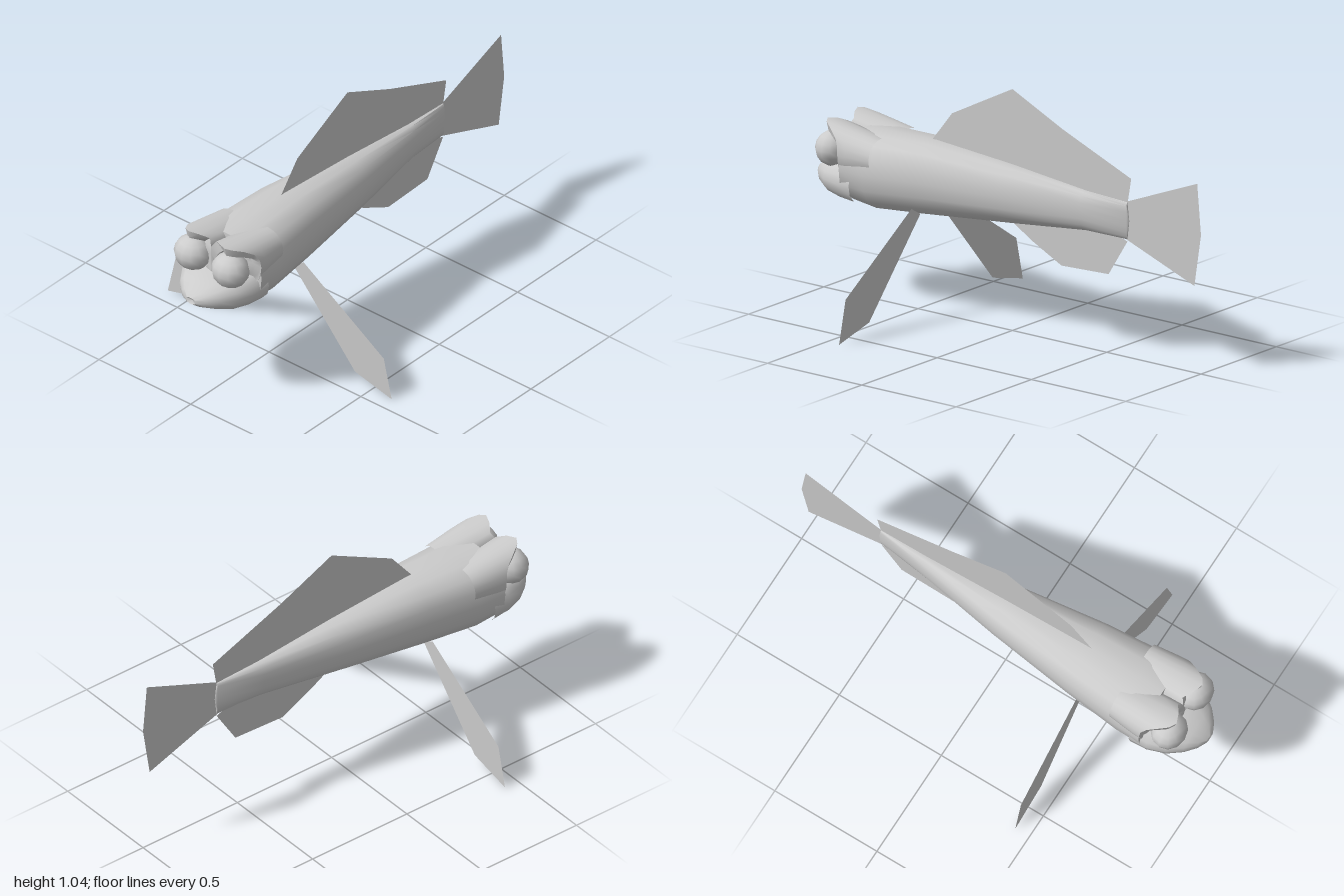
import * as THREE from 'three';
import { toCreasedNormals } from 'three/addons/utils/BufferGeometryUtils.js';

const material = new THREE.MeshStandardMaterial({ color: 0xcccccc });
const thin = new THREE.MeshStandardMaterial({ color: 0xcccccc, side: THREE.DoubleSide });

// Half cross-section of trunk and snout, from the top down to the belly
const HALF = [[0, 1], [0.42, 0.985], [0.78, 0.9], [0.95, 0.74], [1, 0.54], [0.96, 0.34], [0.8, 0.18], [0.48, 0.07], [0, 0]];
const SECTION = [...HALF, ...HALF.slice(1, -1).reverse().map(([x, y]) => [-x, y])];
const bodyRing = ([z, top, bottom, w]) => SECTION.map(([x, y]) => [x * w, bottom + y * (top - bottom), z]);

// Skins neighbouring closed rings, ordered from back to front
function loft(name, rings) {
  const n = rings[0].length, index = [];
  for (let i = 0; i < rings.length - 1; i++) {
    for (let j = 0; j < n; j++) {
      const a = i * n + j, c = i * n + (j + 1) % n;
      index.push(a, a + n, c, c, a + n, c + n);
    }
  }
  const geometry = new THREE.BufferGeometry();
  geometry.setAttribute('position', new THREE.Float32BufferAttribute(rings.flat(2), 3));
  geometry.setIndex(index);
  const mesh = new THREE.Mesh(toCreasedNormals(geometry, 0.9), material);
  mesh.name = name;
  return mesh;
}

// Ring of an eye hood on side s; the rim leans forward at the brow and at the nose
function hoodRing(s, outerR, innerR, height, zAt) {
  return Array.from({ length: 20 }, (_, j) => {
    const angle = j / 20 * Math.PI * 2;
    const out = s * Math.sin(angle), up = Math.cos(angle);
    const lean = Math.max(0, up ** 3, Math.min(0.76, -1.1 * out));
    const x = Math.max(0, 0.1 + out * (out > 0 ? outerR : innerR));
    return [s * x, 0.655 + up * height, zAt(lean)];
  });
}

// Flat fin from an outline
function fin(name, outline) {
  const shape = new THREE.Shape(outline.map(([x, y]) => new THREE.Vector2(x, y)));
  const mesh = new THREE.Mesh(new THREE.ShapeGeometry(shape), thin);
  mesh.name = name;
  return mesh;
}

export function createModel() {
  const model = new THREE.Group();
  model.name = 'fish';

  // Trunk and snout as rows of z, top, bottom, half width
  model.add(loft('trunk', [
    [-0.62, 0.59, 0.59, 0],
    [-0.61, 0.67, 0.51, 0.008],
    [-0.39, 0.68, 0.508, 0.043],
    [0, 0.72, 0.465, 0.108],
    [0.4, 0.75, 0.425, 0.16],
    [0.65, 0.745, 0.405, 0.184],
    [0.77, 0.74, 0.424, 0.19],
    [0.775, 0.6, 0.6, 0],
  ].map(bodyRing)));
  model.add(loft('snout', [
    [0.72, 0.63, 0.418, 0.187],
    [0.8, 0.615, 0.43, 0.183],
    [0.88, 0.6, 0.443, 0.155],
    [0.94, 0.58, 0.468, 0.112],
    [0.98, 0.555, 0.489, 0.066],
    [1, 0.535, 0.505, 0.025],
    [0.99, 0.52, 0.52, 0],
  ].map(bodyRing)));

  // Median fins, drawn in (z, y) and turned into the middle plane
  const median = [
    ['dorsalFin', [[0.43, 0.74], [0.32, 0.88], [0, 1.045], [-0.27, 0.92], [-0.63, 0.775], [-0.61, 0.66], [-0.39, 0.665], [0, 0.7]]],
    ['analFin', [[0, 0.47], [-0.11, 0.405], [-0.26, 0.33], [-0.51, 0.34], [-0.61, 0.5], [-0.5, 0.54]]],
    ['tailFin', [[-0.6, 0.67], [-0.98, 0.82], [-1, 0.6], [-0.965, 0.375], [-0.6, 0.51]]],
  ];
  median.forEach(([name, outline]) => {
    const mesh = fin(name, outline);
    mesh.rotation.y = -Math.PI / 2;
    model.add(mesh);
  });

  // Paired eye hoods, eyes and pectoral fins
  [['left', 1], ['right', -1]].forEach(([side, s]) => {
    model.add(loft(side + 'EyeHood', [
      hoodRing(s, 0.08, 0.1, 0.08, () => 0.62),
      hoodRing(s, 0.092, 0.135, 0.108, (lean) => 0.74 + 0.07 * lean),
      hoodRing(s, 0.093, 0.14, 0.12, (lean) => 0.775 + 0.125 * lean),
      hoodRing(s, 0.085, 0.082, 0.08, (lean) => 0.775 + 0.115 * lean),
      hoodRing(s, 0.06, 0.06, 0.06, () => 0.79),
      hoodRing(s, 0, 0, 0, () => 0.79),
    ]));

    const eye = new THREE.Mesh(new THREE.SphereGeometry(1, 12, 8), material);
    eye.name = side + 'Eye';
    eye.scale.set(0.084, 0.077, 0.076);
    eye.position.set(s * 0.102, 0.653, 0.866);
    model.add(eye);

    const outline = [[0.07, 0.44], [0.13, 0.475], [0.567, 0.185], [0.61, 0], [0.41, 0.05]];
    const pectoral = fin(side + 'PectoralFin', outline.map(([x, y]) => [s * x, y]));
    pectoral.position.z = 0.432;
    model.add(pectoral);
  });

  return model;
}
